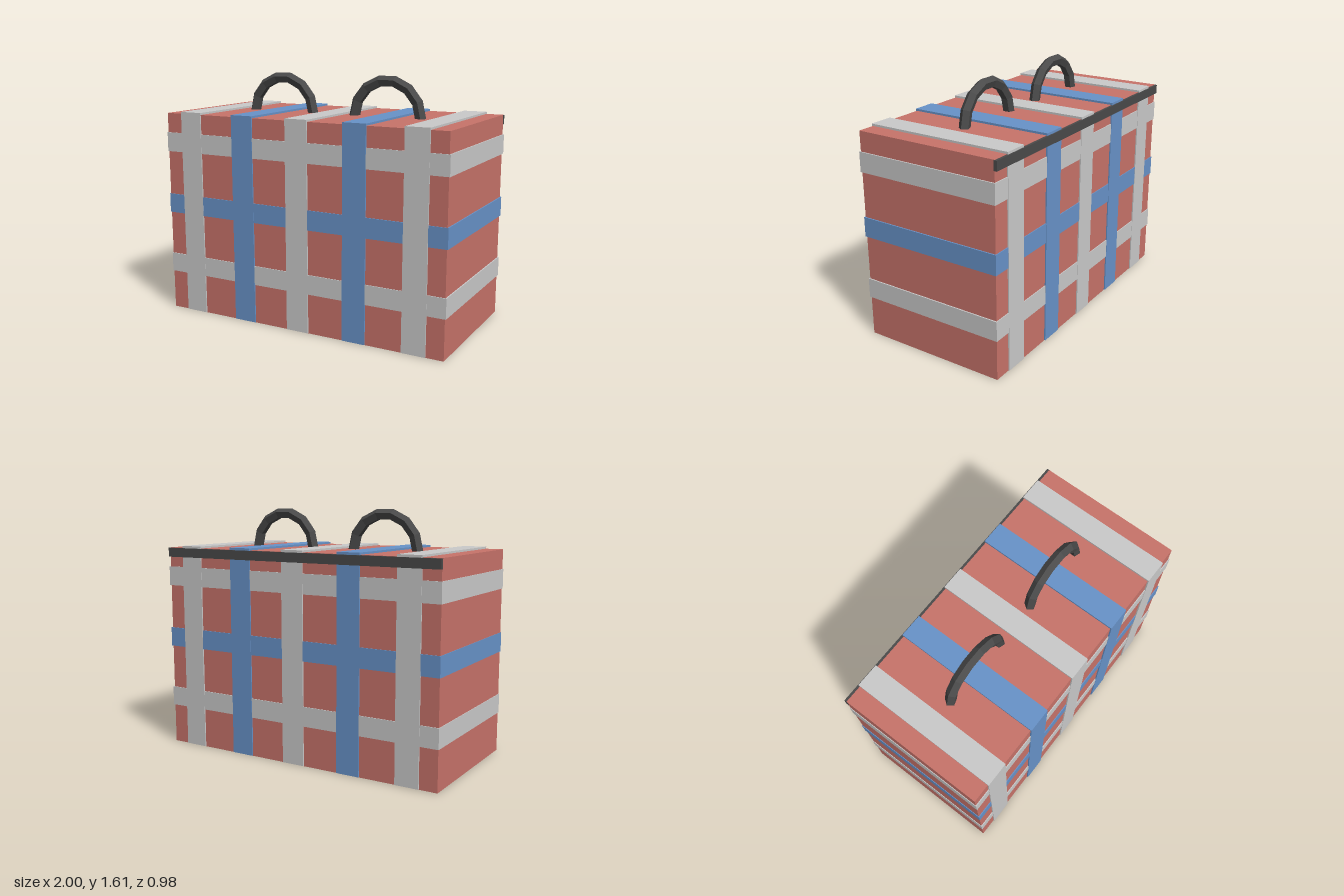
import * as THREE from 'three';

export function createModel() {
  const group = new THREE.Group();
  const mat = (name, color, flatShading = false) => {
    const m = new THREE.MeshStandardMaterial({ color, flatShading });
    m.name = name;
    return m;
  };
  const red = mat('red fabric', 0xc8736a);
  const grey = mat('light grey band', 0xcacaca);
  const blue = mat('blue band', 0x6893c9);
  const dark = mat('dark trim', 0x4a4a4a, true);

  // Box given by its min and max corners
  const box = (name, material, [x0, y0, z0], [x1, y1, z1]) => {
    const mesh = new THREE.Mesh(new THREE.BoxGeometry(x1 - x0, y1 - y0, z1 - z0), material);
    mesh.position.set((x0 + x1) / 2, (y0 + y1) / 2, (z0 + z1) / 2);
    mesh.name = name;
    group.add(mesh);
  };

  // Bag body
  box('body', red, [-0.996, 0, -0.475], [0.992, 1.347, 0.485]);

  // Horizontal bands around the sides
  [[0.26, grey], [0.675, blue], [1.092, grey]].forEach(([y, m]) =>
    box('horizontalBand', m, [-1, y, -0.481], [1, y + 0.127, 0.491]));

  // Vertical bands over front, top and back, slightly proud of the horizontal ones
  [-0.8, -0.4, 0, 0.4, 0.8].forEach((x, i) =>
    box('verticalBand', i % 2 ? blue : grey, [x - 0.078, 0.002, -0.483], [x + 0.078, 1.36, 0.493]));

  // Zip strip along the upper back edge
  box('zipStrip', dark, [-0.998, 1.285, -0.491], [0.994, 1.345, -0.47]);

  // Arched carrying handles with a five-sided section
  const arch = new THREE.TorusGeometry(0.232, 0.037, 5, 7, Math.PI);
  for (const side of [-1, 1]) {
    const handle = new THREE.Mesh(arch, dark);
    handle.name = side > 0 ? 'leftHandle' : 'rightHandle';
    handle.position.set(side * 0.385 - 0.002, 1.343, 0.005);
    group.add(handle);
  }
  return group;
}
